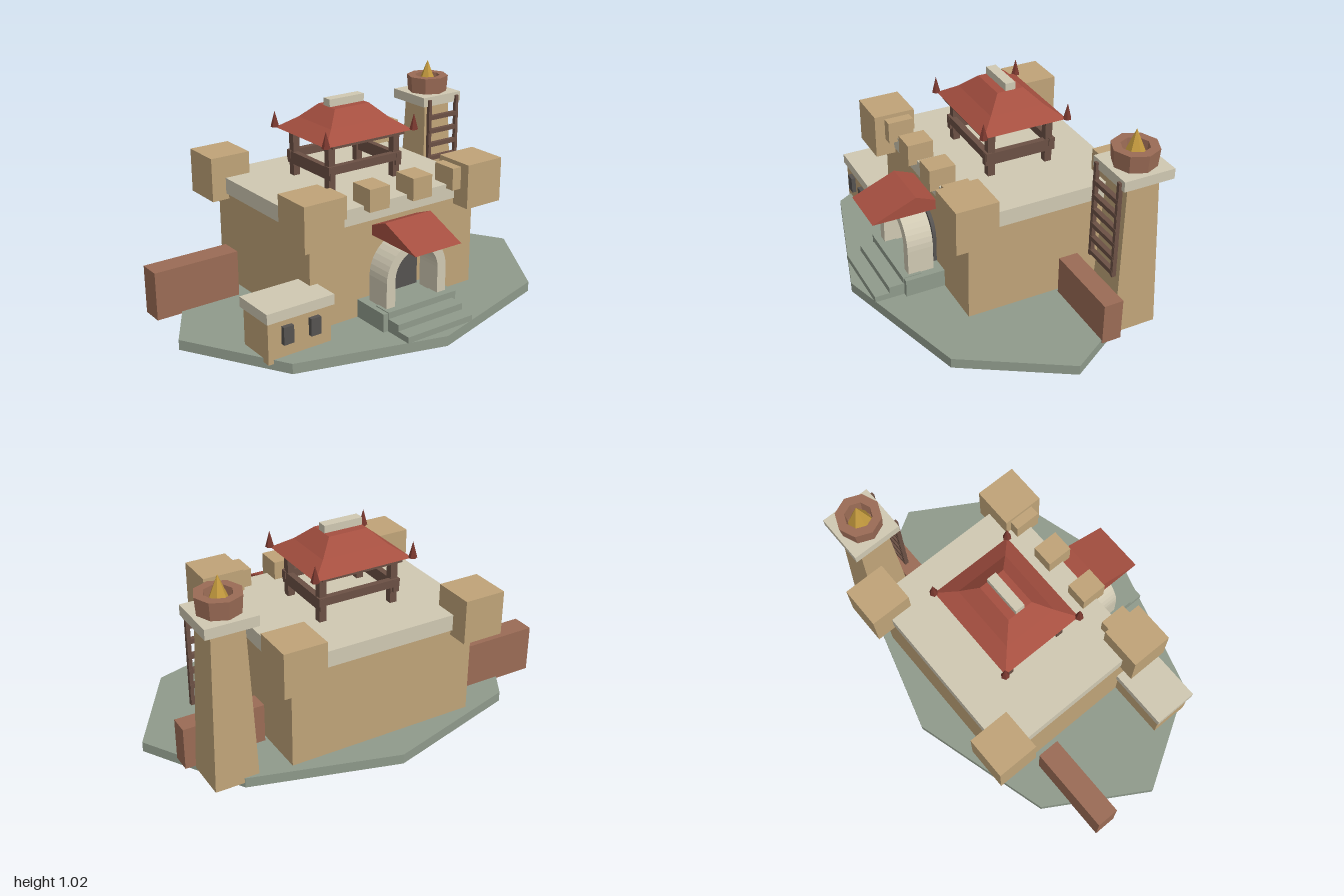
import * as THREE from 'three';

export function createModel() {
  const root = new THREE.Group();
  root.name = 'fortress';
  const mat = (color, extra = {}) => new THREE.MeshStandardMaterial({ color, flatShading: true, ...extra });
  const stone = mat(0x8f9a8b), tan = mat(0xbfa378), cream = mat(0xcfc8b2), red = mat(0xa54f40);
  const brick = mat(0x9a6b55), wood = mat(0x6b5044), dark = mat(0x555250), gold = mat(0xc49a3e);
  const eaveRed = mat(0x7a382f);

  const add = (name, geo, material, parent = root) => {
    const mesh = new THREE.Mesh(geo, material);
    mesh.name = name;
    parent.add(mesh);
    return mesh;
  };
  // box from its min and max on each axis
  const box = (name, x0, x1, y0, y1, z0, z1, material, parent) => {
    const geo = new THREE.BoxGeometry(x1 - x0, y1 - y0, z1 - z0);
    geo.translate((x0 + x1) / 2, (y0 + y1) / 2, (z0 + z1) / 2);
    return add(name, geo, material, parent);
  };
  const group = (name) => {
    const g = new THREE.Group();
    g.name = name;
    root.add(g);
    return g;
  };

  // Eight-sided ground slab
  const ground = new THREE.CylinderGeometry(1, 1, 0.05, 8);
  ground.scale(1, 1, 0.69).translate(0, 0.025, 0);
  add('groundSlab', ground, stone);

  // Main hall with terrace, corner blocks and merlons
  const hall = group('mainHall');
  box('hallWalls', -0.48, 0.48, 0.05, 0.52, -0.51, 0.29, tan, hall);
  box('terrace', -0.495, 0.495, 0.52, 0.6, -0.525, 0.295, cream, hall);
  for (const s of [-1, 1]) {
    for (const z of [0.287, -0.515]) {
      box('cornerBlock', s * 0.465 - 0.105, s * 0.465 + 0.105, 0.49, 0.71, z - 0.104, z + 0.104, tan, hall);
    }
    for (const x of [0.125, 0.365]) {
      box('merlon', s * x - 0.056, s * x + 0.056, 0.58, 0.69, 0.21, 0.34, tan, hall);
    }
  }

  // Gate: door panel, free-standing arch, gabled canopy, platform and steps
  const gate = group('gate');
  const extrude = (shape, z0, z1) =>
    new THREE.ExtrudeGeometry(shape, { depth: z1 - z0, bevelEnabled: false, curveSegments: 10 }).translate(0, 0, z0);
  const door = new THREE.Shape();
  door.moveTo(-0.125, 0.13);
  door.lineTo(0.125, 0.13);
  door.absarc(0, 0.275, 0.125, 0, Math.PI, false);
  add('door', extrude(door, 0.28, 0.308), dark, gate);

  const arch = new THREE.Shape();
  arch.moveTo(0.125, 0.13);
  arch.lineTo(0.175, 0.13);
  arch.absarc(0, 0.27, 0.175, 0, Math.PI, false);
  arch.lineTo(-0.175, 0.13);
  arch.lineTo(-0.125, 0.13);
  arch.absarc(0, 0.275, 0.125, Math.PI, 0, true);
  add('gateArch', extrude(arch, 0.33, 0.46), cream, gate);

  const gable = new THREE.Shape([
    new THREE.Vector2(-0.22, 0.445), new THREE.Vector2(0.22, 0.445), new THREE.Vector2(0, 0.535),
  ]);
  const canopy = extrude(gable, -0.133, 0.133);
  canopy.rotateY(Math.PI / 2).translate(0, 0, 0.39);
  add('gateCanopy', canopy, red, gate);

  box('gatePlatform', -0.215, 0.215, 0.05, 0.14, 0.29, 0.49, stone, gate);
  for (let i = 0; i < 3; i++) {
    box('step', -0.19, 0.19, 0.05, 0.08 + i * 0.032, 0.4, 0.64 - i * 0.073, stone, gate);
  }

  // Guard hut with two windows
  const hut = group('guardHut');
  box('hutWalls', -0.78, -0.45, 0.03, 0.24, 0.21, 0.41, tan, hut);
  box('hutRoof', -0.79, -0.44, 0.232, 0.282, 0.195, 0.423, cream, hut);
  for (const x of [-0.685, -0.543]) box('hutWindow', x - 0.026, x + 0.026, 0.115, 0.2, 0.4, 0.432, dark, hut);

  // Low side walls
  box('rightSideWall', -0.98, -0.54, 0.04, 0.28, -0.36, -0.247, brick);
  box('leftSideWall', 0.497, 0.9, 0.035, 0.245, -0.272, -0.175, brick);

  // Tapered watchtower
  const tower = group('watchtower');
  tower.position.set(0.742, 0, -0.378);
  const shaft = new THREE.CylinderGeometry(0.08 * Math.SQRT2, 0.108 * Math.SQRT2, 0.78, 4);
  shaft.rotateY(Math.PI / 4).translate(0, 0.415, 0);
  add('towerShaft', shaft, tan, tower);
  box('towerCap', -0.125, 0.125, 0.805, 0.855, -0.127, 0.127, cream, tower);
  const bowl = [[0, 0.855], [0.103, 0.855], [0.11, 0.94], [0.066, 0.94], [0.06, 0.87], [0, 0.87]];
  add('beaconBowl', new THREE.LatheGeometry(bowl.map(([r, y]) => new THREE.Vector2(r, y)), 8), brick, tower);
  const flame = new THREE.ConeGeometry(0.062, 0.15, 6);
  flame.rotateY(Math.PI / 6).translate(0, 0.945, 0);
  add('beaconFlame', flame, gold, tower);

  // Ladder hung on the tower front
  const ladder = group('ladder');
  for (const x of [0.652, 0.836]) box('ladderRail', x - 0.009, x + 0.009, 0.35, 0.84, -0.258, -0.238, wood, ladder);
  for (let i = 0; i < 6; i++) {
    const y = 0.37 + i * 0.0745;
    box('ladderRung', 0.645, 0.843, y - 0.011, y + 0.011, -0.26, -0.236, wood, ladder);
  }

  // Roof pavilion
  const pavilion = group('pavilion');
  pavilion.position.z = -0.112;
  for (const s of [-1, 1]) {
    for (const t of [-1, 1]) {
      box('pavilionPost', s * 0.19 - 0.018, s * 0.19 + 0.018, 0.6, 0.83, t * 0.15 - 0.018, t * 0.15 + 0.018, wood, pavilion);
      const finial = new THREE.ConeGeometry(0.021, 0.08, 6);
      finial.translate(s * 0.257, 0.878, t * 0.217);
      add('roofFinial', finial, eaveRed, pavilion);
    }
    box('frontBackRail', -0.215, 0.215, 0.685, 0.725, s * 0.165 - 0.015, s * 0.165 + 0.015, wood, pavilion);
    box('sideRail', s * 0.195 - 0.015, s * 0.195 + 0.015, 0.66, 0.72, -0.182, 0.182, wood, pavilion);
  }
  box('eavePlate', -0.21, 0.21, 0.82, 0.838, -0.205, 0.205, wood, pavilion);

  // Hipped roof lofted through rectangular rings [half width, y, half depth]
  const rings = [[0, 0.836, 0], [0.255, 0.836, 0.215], [0.172, 0.893, 0.137], [0.1, 0.963, 0.067], [0, 0.963, 0]];
  const corners = [[1, 1], [1, -1], [-1, -1], [-1, 1]];
  const pos = [], idx = [];
  rings.forEach(([w, y, d]) => corners.forEach(([a, b]) => pos.push(a * w, y, b * d)));
  for (let r = 0; r < rings.length - 1; r++) {
    for (let c = 0; c < 4; c++) {
      const a = r * 4 + c, b = r * 4 + (c + 1) % 4;
      idx.push(a, b, b + 4, a, b + 4, a + 4);
    }
  }
  const roof = new THREE.BufferGeometry();
  roof.setAttribute('position', new THREE.Float32BufferAttribute(pos, 3));
  roof.setIndex(idx);
  roof.computeVertexNormals();
  add('pavilionRoof', roof, red, pavilion);
  box('roofRidge', -0.1, 0.1, 0.955, 1.0, -0.025, 0.025, cream, pavilion);

  return root;
}
